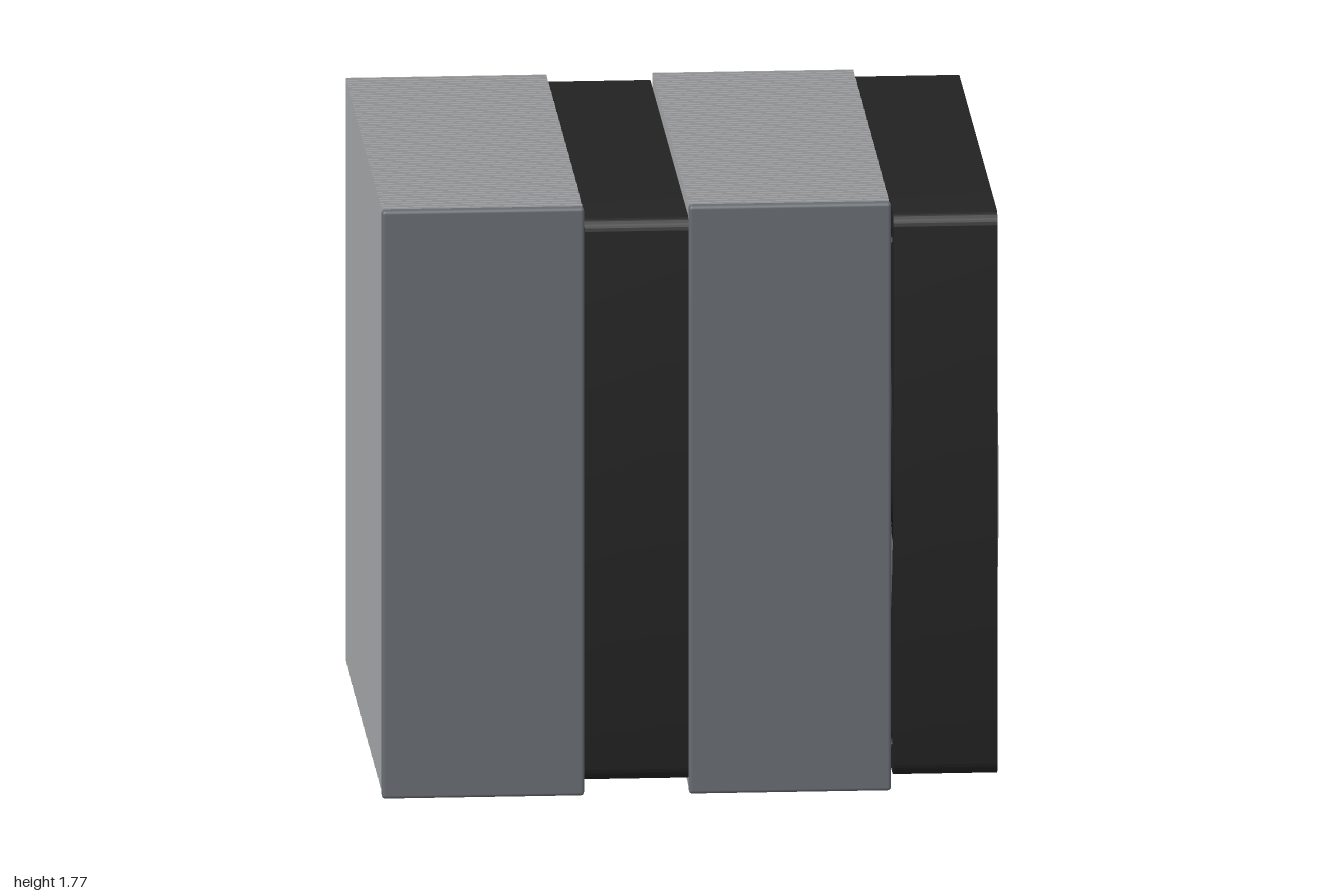
import * as THREE from 'three';
import { toCreasedNormals } from 'three/addons/utils/BufferGeometryUtils.js';
import { RoundedBoxGeometry } from 'three/addons/geometries/RoundedBoxGeometry.js';

const material = (name, color, side = THREE.FrontSide) => {
  const m = new THREE.MeshStandardMaterial({ color, side });
  m.name = name;
  return m;
};

export function createModel() {
  const black = material('fan black', 0x222222, THREE.DoubleSide);
  const finGrey = material('fin aluminium', 0xaaabad);
  const darkGrey = material('dark steel', 0x686c72);
  const silver = material('polished silver', 0xb8bbc0);
  const copper = material('copper', 0xb87350);

  const model = new THREE.Group();
  model.name = 'tower cooler';
  const add = (parent, name, geometry, mat, x = 0, y = 0, z = 0) => {
    const mesh = new THREE.Mesh(geometry, mat);
    mesh.name = name;
    mesh.position.set(x, y, z);
    parent.add(mesh);
    return mesh;
  };
  const midY = 0.888;

  // Two stacks of thin fins, each with a front cover
  const finGeometry = new THREE.BoxGeometry(0.588, 1.755, 0.005);
  const coverGeometry = new RoundedBoxGeometry(0.592, 1.77, 0.036, 2, 0.01);
  for (const [side, x] of [['right', -0.605], ['left', 0.293]]) {
    const stack = new THREE.Group();
    stack.name = side + 'FinStack';
    const count = 60;
    for (let i = 0; i < count; i++) {
      add(stack, 'fin', finGeometry, finGrey, x, midY, -0.617 + (i * 1.55) / (count - 1));
    }
    add(stack, 'frontCover', coverGeometry, darkGrey, x, 0.885, 0.982);
    model.add(stack);
  }

  // Fan frame: rounded square with a round duct and four screw holes
  const depth = 0.304, half = 0.847, r = 0.045, duct = 0.822;
  const shape = new THREE.Shape();
  const c = half - r;
  shape.absarc(c, c, r, 0, Math.PI / 2);
  shape.absarc(-c, c, r, Math.PI / 2, Math.PI);
  shape.absarc(-c, -c, r, Math.PI, Math.PI * 1.5);
  shape.absarc(c, -c, r, Math.PI * 1.5, Math.PI * 2);
  shape.closePath();
  const hole = (x, y, radius) => {
    const path = new THREE.Path();
    path.absarc(x, y, radius, 0, Math.PI * 2, true);
    shape.holes.push(path);
  };
  hole(0, 0, duct);
  for (const sx of [-1, 1]) for (const sy of [-1, 1]) hole(sx * 0.756, sy * 0.756, 0.026);
  const frameGeometry = toCreasedNormals(
    new THREE.ExtrudeGeometry(shape, { depth, bevelEnabled: false, curveSegments: 36 })
      .translate(0, 0, -depth / 2), 0.6);

  // Hub with a rounded rim
  const hubProfile = [[0, -0.12], [0.27, -0.12], [0.29, -0.1], [0.29, 0.06], [0.282, 0.082],
    [0.265, 0.096], [0.245, 0.1], [0, 0.1]].map(([x, y]) => new THREE.Vector2(x, y));
  const hubGeometry = toCreasedNormals(
    new THREE.LatheGeometry(hubProfile, 64).rotateX(Math.PI / 2), 0.6);

  // Pitched leaf-shaped blade, running along +x
  const bladeGeometry = new THREE.PlaneGeometry(1, 1, 18, 6);
  const pos = bladeGeometry.attributes.position;
  for (let i = 0; i < pos.count; i++) {
    const s = pos.getX(i) + 0.5;
    const width = 0.11 * (0.8 + 0.5 * s) * (1 - Math.pow(s, 2.2));
    const v = pos.getY(i) * 2 * width;
    pos.setXYZ(i, 0.265 + 0.55 * s, 0.012 - 0.06 * s * s + v, v * 0.85);
  }
  bladeGeometry.computeVertexNormals();

  const ringGeometry = new THREE.TorusGeometry(duct + 0.004, 0.008, 8, 96);
  const capGeometry = new THREE.CylinderGeometry(0.235, 0.235, 0.008, 64).rotateX(Math.PI / 2);
  for (const [name, x] of [['innerFan', -0.156], ['outerFan', 0.748]]) {
    const fan = new THREE.Group();
    fan.name = name;
    add(fan, 'frame', frameGeometry, black);
    add(fan, 'ductRing', ringGeometry, silver, 0, 0, depth / 2 - 0.004);
    add(fan, 'hub', hubGeometry, black);
    add(fan, 'hubCap', capGeometry, silver, 0, 0, 0.102);
    for (let i = 0; i < 9; i++) {
      add(fan, 'blade', bladeGeometry, black).rotation.z = (i * Math.PI * 2) / 9;
    }
    fan.rotation.y = Math.PI / 2;
    fan.position.set(x, midY, 0.153);
    model.add(fan);
  }

  // Three heat pipes bent into a U, symmetric about the base plate
  const centreX = -0.157;
  const arm = [[0.448, 0.935], [0.458, 0.6], [0.485, 0.2], [0.502, -0.1], [0.502, -0.35],
    [0.475, -0.62], [0.4, -0.77], [0.25, -0.885]];
  const points = [...arm.map(([x, z]) => [-x, z]), [0, -0.955], ...arm.slice().reverse()]
    .map(([x, z]) => new THREE.Vector3(centreX + x, 0, z));
  const path = new THREE.CatmullRomCurve3(points);
  const pipeGeometry = new THREE.TubeGeometry(path, 120, 0.034, 16);
  const endGeometry = new THREE.CircleGeometry(0.034, 16);
  for (const y of [0.8, midY, 0.98]) {
    const pipe = new THREE.Group();
    pipe.name = 'heatPipe';
    add(pipe, 'pipe', pipeGeometry, copper, 0, y, 0);
    for (const s of [-1, 1]) add(pipe, 'pipeEnd', endGeometry, copper, centreX + s * 0.448, y, 0.935);
    model.add(pipe);
  }

  // Contact plate and mounting bar at the back
  add(model, 'basePlate', new RoundedBoxGeometry(0.485, 0.525, 0.07, 2, 0.01), silver, centreX, midY, -0.965);
  add(model, 'mountingBar', new RoundedBoxGeometry(0.895, 0.14, 0.044, 2, 0.006), darkGrey, centreX, midY, -0.907);

  return model;
}
